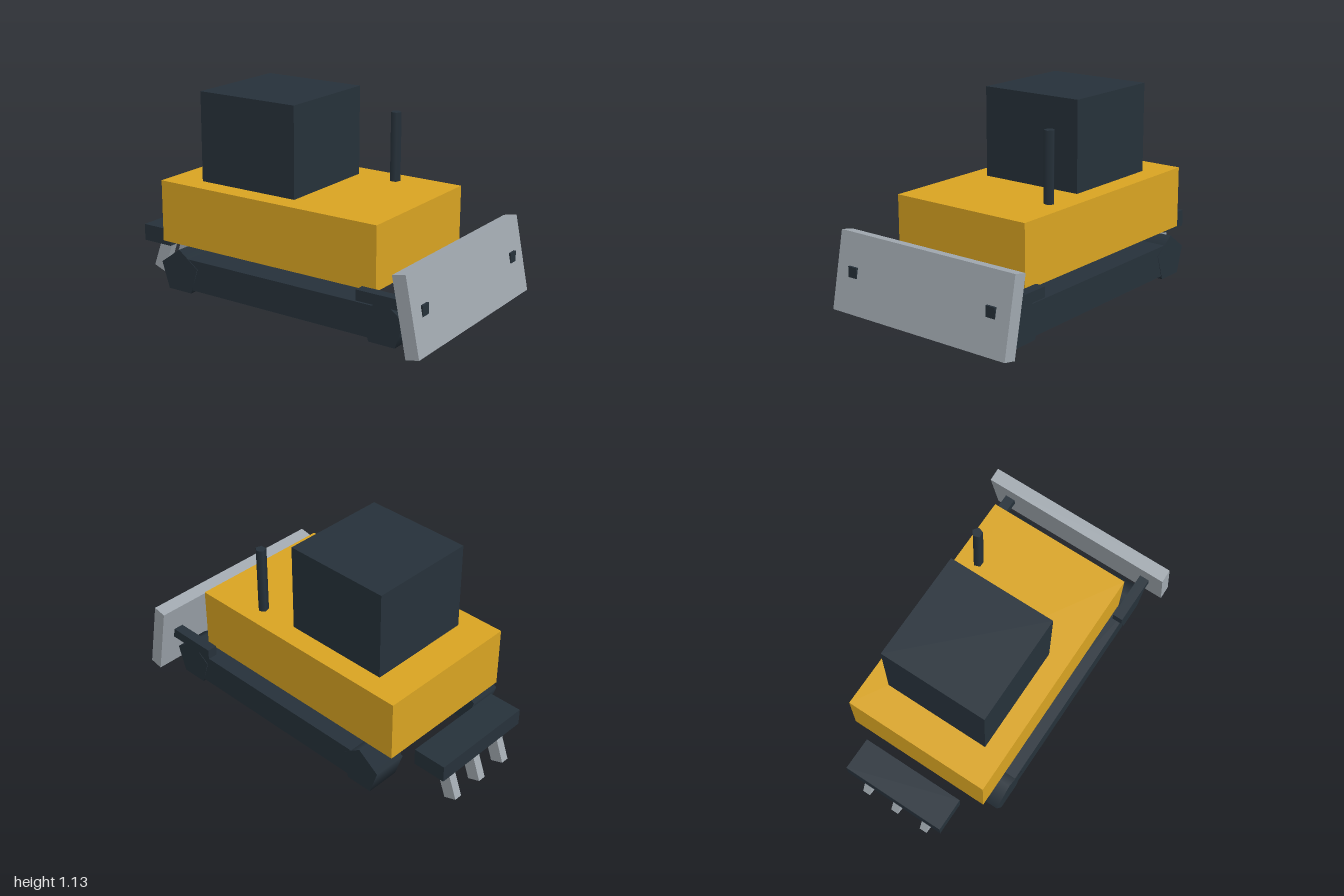
import * as THREE from 'three';

const mat = (name, color) => {
  const m = new THREE.MeshStandardMaterial({ color });
  m.name = name;
  return m;
};

export function createModel() {
  const yellow = mat('bodyYellow', 0xd9a422);
  const dark = mat('darkSlate', 0x26313a);
  const steel = mat('steelGrey', 0xa0a8af);

  const model = new THREE.Group();
  model.name = 'bulldozer';

  const add = (name, geometry, material, x, y, z, tilt = 0) => {
    const mesh = new THREE.Mesh(geometry, material);
    mesh.name = name;
    mesh.position.set(x, y, z);
    mesh.rotation.x = tilt;
    model.add(mesh);
    return mesh;
  };
  const box = (name, material, [w, h, d], [x, y, z], tilt) =>
    add(name, new THREE.BoxGeometry(w, h, d), material, x, y, z, tilt);
  // Five-sided cylinder with its first corner towards +x
  const pentagon = (radius, length) =>
    new THREE.CylinderGeometry(radius, radius, length, 5, 1, false, Math.PI / 2);

  // Hull, cab and exhaust
  box('body', yellow, [0.846, 0.346, 1.39], [0, 0.458, -0.04]);
  box('cab', dark, [0.614, 0.5, 0.615], [0, 0.88, -0.232]);
  add('exhaustPipe', pentagon(0.03, 0.4), dark, 0.306, 0.815, 0.31);

  // Tracks, rollers and push arms on both sides
  const rollerGeometry = pentagon(0.131, 0.194).rotateZ(Math.PI / 2);
  for (const [side, s] of [['left', 1], ['right', -1]]) {
    box(side + 'Track', dark, [0.19, 0.174, 1.3], [s * 0.386, 0.149, 0.08]);
    add(side + 'FrontRoller', rollerGeometry, dark, s * 0.387, 0.149, 0.73);
    add(side + 'RearRoller', rollerGeometry, dark, s * 0.387, 0.149, -0.57);
    box(side + 'PushArm', dark, [0.058, 0.058, 0.383], [s * 0.461, 0.275, 0.772]);
  }

  // Front blade, leaning back
  box('blade', steel, [1.154, 0.423, 0.077], [0, 0.261, 0.92], -0.2);

  // Rear ripper
  box('ripperBeam', dark, [0.614, 0.095, 0.192], [0, 0.257, -0.885]);
  for (const x of [-0.193, 0, 0.193]) {
    box('ripperTine', steel, [0.046, 0.23, 0.077], [x, 0.125, -0.921], 0.35);
  }

  return model;
}
